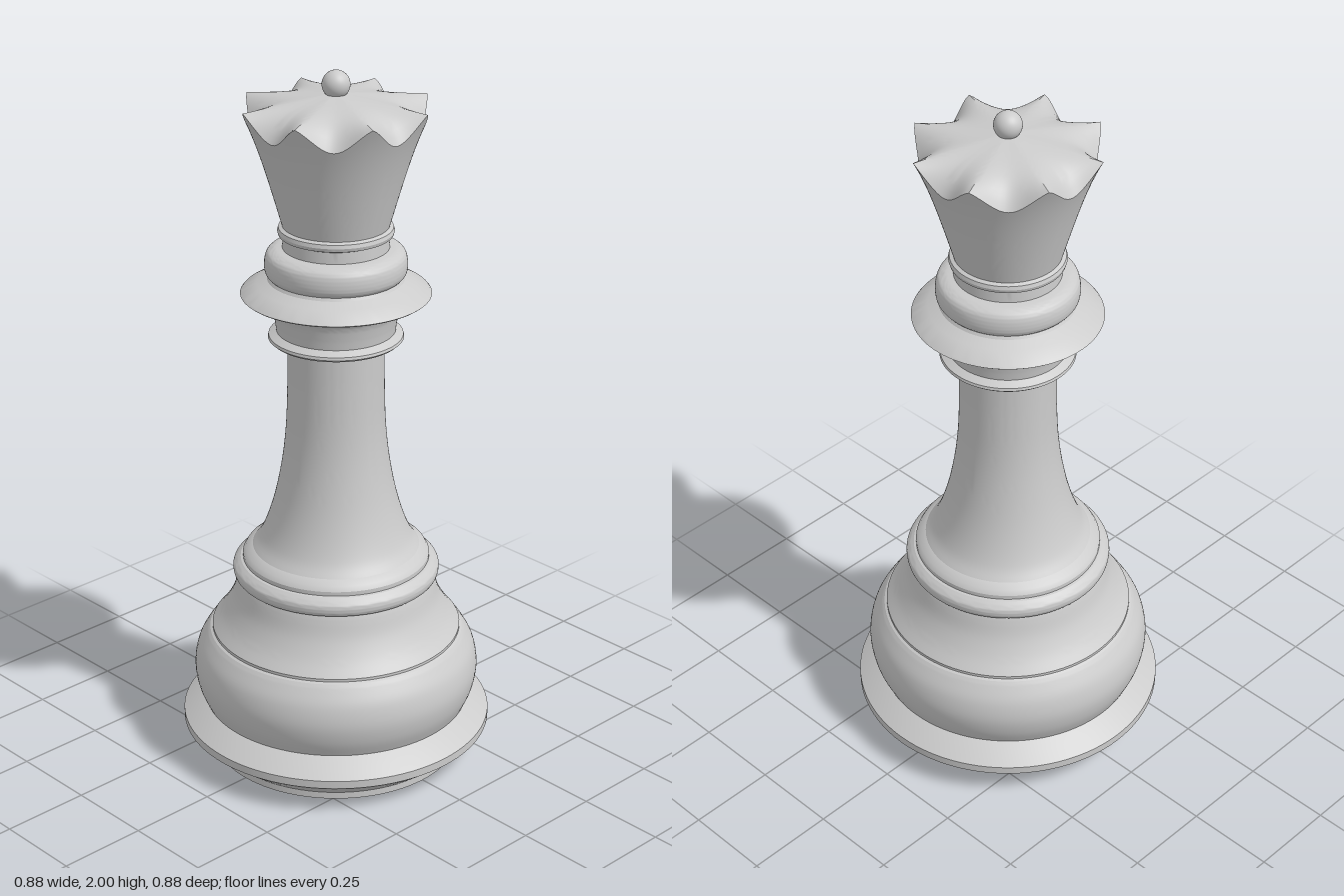
import * as THREE from 'three';
import { toCreasedNormals } from 'three/addons/utils/BufferGeometryUtils.js';

const material = new THREE.MeshStandardMaterial({ color: 0xcccccc, side: THREE.DoubleSide });
const SEGMENTS = 96;

// Turned part from [radius, height] points, listed bottom to top; curved parts pass through a spline.
function turned(name, points, curved = false) {
  let profile = points.map(([r, y]) => new THREE.Vector2(r, y));
  if (curved) profile = new THREE.SplineCurve(profile).getPoints(points.length * 4);
  const geometry = toCreasedNormals(new THREE.LatheGeometry(profile, SEGMENTS), 0.5);
  const mesh = new THREE.Mesh(geometry, material);
  mesh.name = name;
  return mesh;
}

// Flared crown wall with eight points, closed by a shallow fluted cone.
function crown() {
  const bottom = 1.575, tip = 1.91, peak = 1.94, dip = 0.065;
  const columns = 128, wallRows = 16, topRows = 20;
  const radiusAt = (y) => {
    const u = (y - bottom) / (tip - bottom);
    return 0.145 + 0.095 * u + 0.02 * u ** 4;
  };
  const positions = [], indices = [];
  for (let j = 0; j <= wallRows + topRows; j++) {
    for (let i = 0; i <= columns; i++) {
      const angle = (i / columns) * Math.PI * 2;
      const scallop = dip * Math.abs(Math.cos(4 * angle)) ** 1.3;
      const rim = tip - scallop;
      let r, y;
      if (j <= wallRows) {
        y = bottom + (rim - bottom) * (j / wallRows);
        r = radiusAt(y);
      } else {
        const t = 1 - (j - wallRows) / topRows;
        r = radiusAt(rim) * t;
        y = peak + (tip - peak) * t - scallop * t ** 6;
      }
      positions.push(r * Math.sin(angle), y, r * Math.cos(angle));
    }
  }
  const row = columns + 1;
  for (let j = 0; j < wallRows + topRows; j++) {
    for (let i = 0; i < columns; i++) {
      const a = j * row + i, b = a + 1, c = a + row, d = c + 1;
      indices.push(a, b, d);
      if (j < wallRows + topRows - 1) indices.push(a, d, c);
    }
  }
  const geometry = new THREE.BufferGeometry();
  geometry.setAttribute('position', new THREE.Float32BufferAttribute(positions, 3));
  geometry.setIndex(indices);
  const mesh = new THREE.Mesh(toCreasedNormals(geometry, 0.6), material);
  mesh.name = 'crown';
  return mesh;
}

export function createModel() {
  const model = new THREE.Group();
  model.name = 'chessQueen';

  model.add(
    // Base
    turned('foot', [[0, 0], [0.355, 0], [0.355, 0.02], [0.365, 0.028], [0.44, 0.085],
      [0.44, 0.108], [0.405, 0.135], [0.378, 0.153]]),
    turned('lowerBulge', [[0.378, 0.153], [0.397, 0.2], [0.405, 0.255], [0.395, 0.31], [0.372, 0.352], [0.36, 0.368]], true),
    turned('bulgeGroove', [[0.36, 0.368], [0.353, 0.372], [0.353, 0.38]]),
    turned('shoulder', [[0.353, 0.38], [0.322, 0.42], [0.295, 0.47], [0.28, 0.52], [0.275, 0.535]], true),
    turned('shoulderRing', [[0.275, 0.535], [0.286, 0.54], [0.291, 0.555], [0.288, 0.572], [0.27, 0.588]], true),
    turned('shoulderLip', [[0.27, 0.588], [0.263, 0.59], [0.263, 0.602], [0.255, 0.615], [0.235, 0.627]]),

    // Stem
    turned('stem', [[0.235, 0.627], [0.212, 0.66], [0.188, 0.72], [0.166, 0.8], [0.148, 0.9],
      [0.138, 1.0], [0.134, 1.12], [0.133, 1.255]], true),

    // Collars
    turned('lowerCollar', [[0.133, 1.248], [0.178, 1.248], [0.186, 1.255], [0.184, 1.263], [0.163, 1.275]]),
    turned('collarFlare', [[0.163, 1.275], [0.168, 1.31], [0.178, 1.345], [0.205, 1.365], [0.255, 1.378]], true),
    turned('collarTop', [[0.255, 1.378], [0.26, 1.382], [0.255, 1.388], [0.215, 1.41], [0.187, 1.424], [0.182, 1.432]]),
    turned('neckBulge', [[0.182, 1.432], [0.192, 1.445], [0.194, 1.47], [0.188, 1.495], [0.17, 1.508], [0.145, 1.513]], true),
    turned('neck', [[0.145, 1.513], [0.143, 1.545], [0.155, 1.55], [0.158, 1.56], [0.155, 1.57], [0.145, 1.575]]),

    crown(),
  );

  // Finial ball
  const ball = new THREE.Mesh(new THREE.SphereGeometry(0.038, 32, 24), material);
  ball.name = 'finial';
  ball.position.y = 1.962;
  model.add(ball);

  return model;
}
